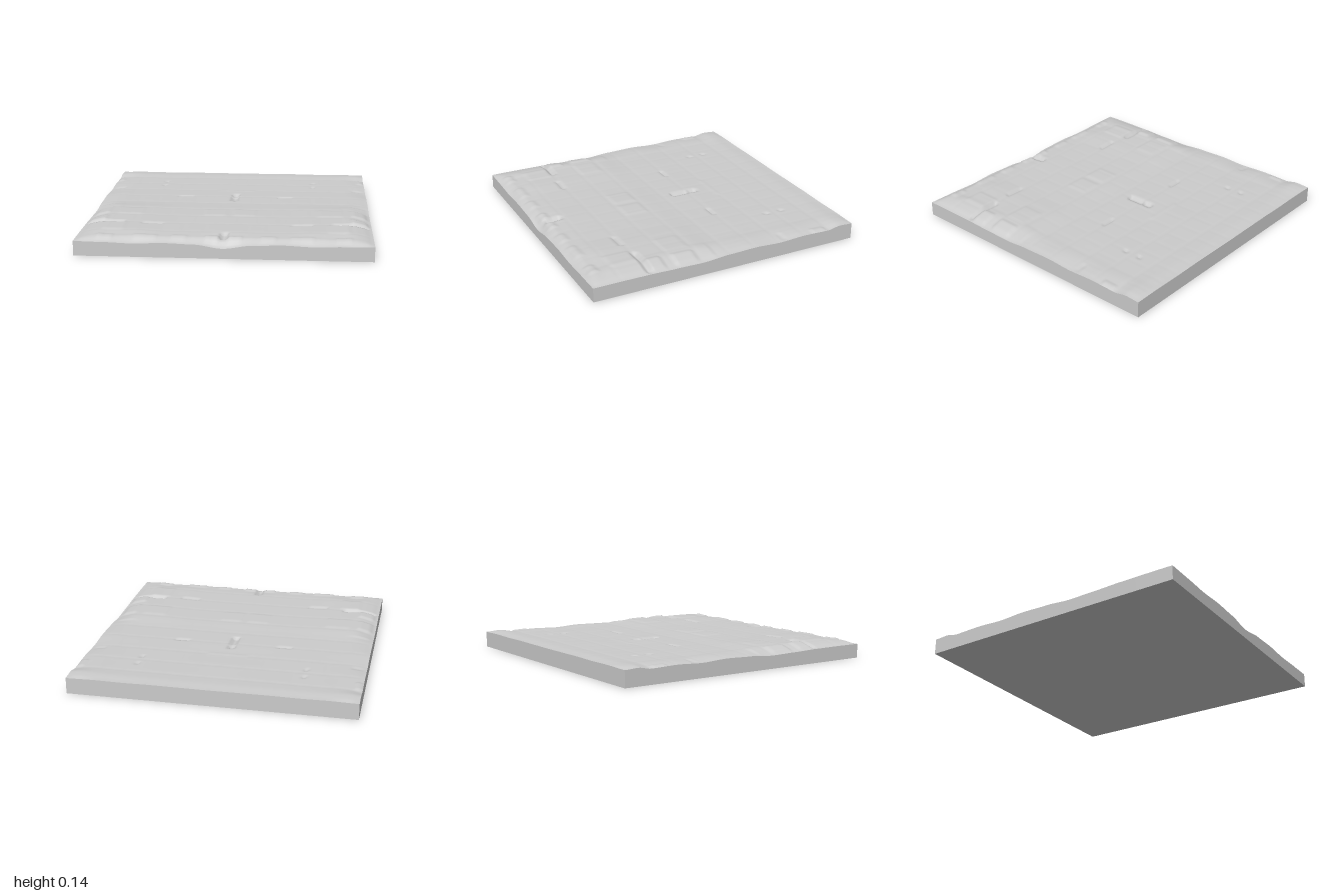
import * as THREE from 'three';

// Surface heights (hundredths): rows run back to front, columns from the centre line to the side
const ROWS = [
  [-1.0, [11.6, 11.7, 11.8, 11.6, 11.8, 11.5]],
  [-0.9, [12.0, 12.1, 12.2, 12.1, 12.3, 12.0]],
  [-0.8, [11.8, 11.8, 11.9, 11.8, 11.8, 10.4]],
  [-0.6, [11.8, 11.7, 11.7, 11.8, 11.7, 10.9]],
  [-0.4, [11.7, 11.6, 11.7, 11.8, 11.6, 10.1]],
  [-0.2, [12.0, 11.9, 11.9, 12.0, 11.9, 11.0]],
  [0.0, [11.9, 11.9, 12.0, 12.1, 12.0, 10.5]],
  [0.2, [12.6, 12.5, 12.6, 13.1, 13.2, 9.2]],
  [0.4, [12.8, 12.7, 12.7, 13.2, 13.4, 9.6]],
  [0.6, [12.8, 12.7, 12.8, 13.3, 13.2, 10.1]],
  [0.8, [13.0, 12.8, 12.8, 13.6, 13.1, 10.2]],
  [0.92, [12.2, 12.5, 12.5, 12.8, 12.2, 10.2]],
  [1.0, [6.9, 9.4, 10.0, 9.2, 9.8, 10.1]],
];
const COLS = [0, 0.2, 0.4, 0.6, 0.8, 1];

// Raised or sunken stone patches, mirrored: |x| from, to, z from, to, height change
const PATCHES = [
  [0, 0.022, -0.28, -0.22, -0.02], [0, 0.022, -0.2, -0.08, -0.02],
  [0, 0.022, 0.82, 0.93, -0.022], [0, 0.14, -0.405, -0.39, 0.004],
  [0.33, 0.43, -0.205, -0.19, -0.012], [0.45, 0.59, 0.605, 0.625, -0.012],
  [0.58, 0.6, -0.68, -0.65, -0.01], [0.58, 0.6, -0.56, -0.53, -0.01],
  [0.73, 0.97, 0.575, 0.6, -0.02], [0.86, 0.97, 0.47, 0.58, 0.01],
  [0.87, 0.97, 0.23, 0.38, 0.009], [0.7, 0.84, 0.62, 0.8, 0.006],
  [0.75, 0.85, 0.9, 0.96, 0.008], [0.45, 0.6, 0.9, 0.96, 0.006],
  [0.25, 0.35, 0.9, 0.96, 0.006], [0.03, 0.12, 0.9, 0.96, 0.008],
  [0.63, 0.8, 0.23, 0.39, 0.004], [0.03, 0.18, 0.22, 0.38, 0.004],
  [0.9, 0.97, -0.46, -0.43, -0.006], [0.95, 0.99, -0.78, -0.68, 0.008],
];

const { clamp, smoothstep, lerp } = THREE.MathUtils;

// Smooth interpolation through irregularly spaced samples
function sample(stops, value, t) {
  let i = 0;
  while (i < stops.length - 2 && t > stops[i + 1]) i++;
  const k = clamp((t - stops[i]) / (stops[i + 1] - stops[i]), 0, 1);
  return lerp(value(i), value(i + 1), k * k * (3 - 2 * k));
}

const rowStops = ROWS.map(r => r[0]);

function surfaceHeight(x, z) {
  const ax = Math.abs(x);
  let h = sample(rowStops, r => sample(COLS, c => ROWS[r][1][c] / 100, ax), z);
  const inner = smoothstep(1 - ax, 0, 0.06) * smoothstep(1 - Math.abs(z), 0, 0.04);

  // Flat shoulder: the sides drop only close to the edge
  h += 0.012 * inner * smoothstep(ax, 0.78, 0.9) * (z > 0.1 ? 1 : 0.5);

  // Staggered paving seams
  const row = Math.floor((z + 1) / 0.2);
  const dz = Math.abs((z + 1) / 0.2 - Math.round((z + 1) / 0.2)) * 0.2;
  const u = (ax + (row % 2) * 0.07) / 0.145;
  const dx = Math.abs(u - Math.round(u)) * 0.145;
  const seam = Math.max(1 - smoothstep(dz, 0, 0.02), 0.6 * (1 - smoothstep(dx, 0, 0.02)));
  h -= 0.002 * seam * inner;

  // Broken patches and cracks
  for (const [x0, x1, z0, z1, dy] of PATCHES) {
    const e = 0.012;
    const left = x0 === 0 ? 1 : smoothstep(ax, x0 - e, x0 + e / 2);
    h += dy * left * (1 - smoothstep(ax, x1 - e / 2, x1 + e))
      * smoothstep(z, z0 - e, z0 + e / 2) * (1 - smoothstep(z, z1 - e / 2, z1 + e));
  }
  return h;
}

export function createModel() {
  const group = new THREE.Group();
  group.name = 'stoneGroundTile';

  // Slab whose upper vertices follow the worn paving surface
  const geometry = new THREE.BoxGeometry(2, 1, 2, 140, 1, 140);
  const p = geometry.attributes.position;
  for (let i = 0; i < p.count; i++) {
    p.setY(i, p.getY(i) > 0 ? surfaceHeight(p.getX(i), p.getZ(i)) : 0);
  }
  geometry.computeVertexNormals();

  const slab = new THREE.Mesh(geometry, new THREE.MeshStandardMaterial({ color: 0xcccccc }));
  slab.name = 'pavingSlab';
  group.add(slab);
  return group;
}
